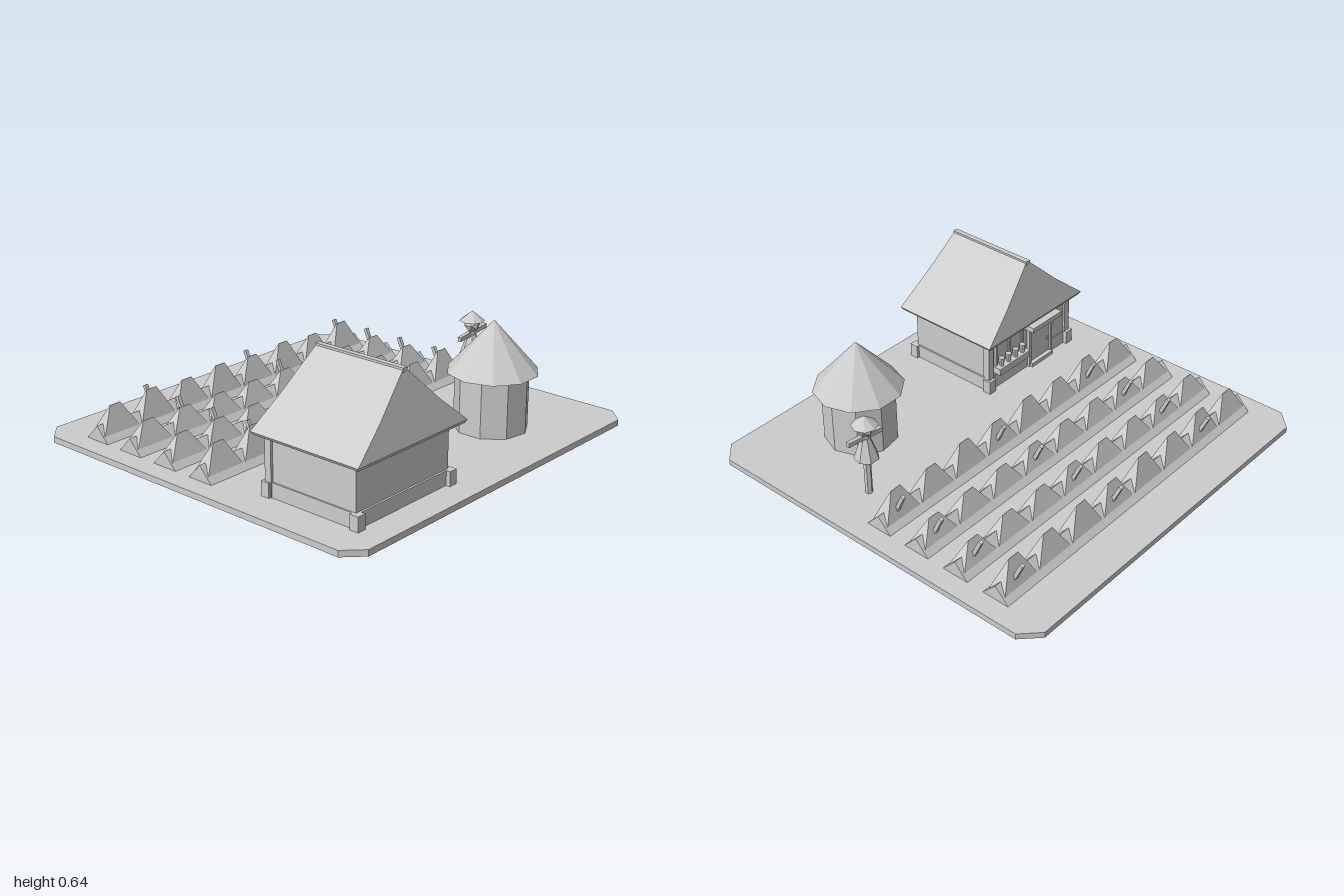
import * as THREE from 'three';

// Solid built from stacked rectangles, each [y, halfWidth, halfDepth]
function stackedRects(levels) {
  const pos = [], idx = [];
  for (const [y, w, d] of levels) pos.push(-w, y, d, w, y, d, w, y, -d, -w, y, -d);
  for (let l = 0; l < levels.length - 1; l++) {
    for (let i = 0; i < 4; i++) {
      const a = l * 4 + i, b = l * 4 + (i + 1) % 4;
      idx.push(a, b, b + 4, a, b + 4, a + 4);
    }
  }
  const t = (levels.length - 1) * 4;
  idx.push(0, 2, 1, 0, 3, 2, t, t + 1, t + 2, t, t + 2, t + 3);
  const g = new THREE.BufferGeometry();
  g.setAttribute('position', new THREE.Float32BufferAttribute(pos, 3));
  g.setIndex(idx);
  const flat = g.toNonIndexed();
  flat.computeVertexNormals();
  return flat;
}

export function createModel() {
  const grey = new THREE.MeshStandardMaterial({ color: 0xcccccc, flatShading: true });
  grey.name = 'plain grey';
  const root = new THREE.Group();
  root.name = 'farm';

  const group = (name, x, z) => {
    const g = new THREE.Group();
    g.name = name;
    g.position.set(x, 0, z);
    root.add(g);
    return g;
  };
  const add = (parent, name, geo, x = 0, y = 0, z = 0) => {
    const m = new THREE.Mesh(geo, grey);
    m.name = name;
    m.position.set(x, y, z);
    parent.add(m);
    return m;
  };
  // Box given by its min and max corners
  const box = (parent, name, x0, x1, y0, y1, z0, z1) =>
    add(parent, name, new THREE.BoxGeometry(x1 - x0, y1 - y0, z1 - z0),
      (x0 + x1) / 2, (y0 + y1) / 2, (z0 + z1) / 2);

  // Ground slab with cut corners
  const W = 1, D = 0.965, C = 0.085;
  const outline = [[-W, -D + C], [-W + C, -D], [W - C, -D], [W, -D + C],
    [W, D - C], [W - C, D], [-W + C, D], [-W, D - C]].map(p => new THREE.Vector2(...p));
  const slab = new THREE.ExtrudeGeometry(new THREE.Shape(outline), { depth: 0.03, bevelEnabled: false });
  slab.rotateX(-Math.PI / 2);
  add(root, 'ground', slab);

  // Field: four earth ridges, each with eight plants and three stakes
  const ridgeGeo = stackedRects([[0.02, 0.9, 0.079], [0.105, 0.9, 0]]);
  const stakeGeo = new THREE.BoxGeometry(0.018, 0.1, 0.018);
  for (let r = 0; r < 4; r++) {
    const row = group('fieldRow', 0, -0.004 - 0.227 * r);
    add(row, 'earthRidge', ridgeGeo);
    for (let i = 0; i < 8; i++) {
      const x = -0.787 + 0.2245 * i;
      const top = (r === 0 || r === 3) ? (i % 2 ? 0.196 : 0.183) : 0.165;
      add(row, 'plant', stackedRects([[0.06, 0.104, 0.045], [top, 0.03, 0.001]]), x);
      if (i % 3 === 1) add(row, 'stake', stakeGeo, x + 0.02, 0.145, -0.045).rotation.x = -0.42;
    }
  }

  // House, centred under its roof
  const house = group('house', -0.51, 0.568);
  box(house, 'walls', -0.3, 0.3, 0.03, 0.32, -0.245, 0.24);
  box(house, 'foundation', -0.308, 0.308, 0.03, 0.1, -0.25, 0.25);
  for (const sx of [-1, 1]) {
    for (const sz of [-1, 1]) add(house, 'cornerStone', new THREE.BoxGeometry(0.045, 0.07, 0.045), sx * 0.3, 0.065, sz * 0.248);
    add(house, 'cornerPost', new THREE.BoxGeometry(0.035, 0.28, 0.035), sx * 0.295, 0.17, -0.238);
  }
  add(house, 'roof', stackedRects([[0.31, 0.345, 0.29], [0.325, 0.354, 0.297], [0.462, 0.19, 0.27], [0.63, 0.013, 0.237]]));
  box(house, 'ridgeCap', -0.013, 0.013, 0.618, 0.64, -0.24, 0.24);

  // Door with frame, handle, canopy and step on the field side
  box(house, 'door', -0.155, -0.005, 0.04, 0.235, -0.252, -0.244);
  for (const x of [-0.17, -0.005]) box(house, 'doorJamb', x, x + 0.015, 0.03, 0.25, -0.262, -0.24);
  box(house, 'doorLintel', -0.17, 0.01, 0.235, 0.25, -0.262, -0.24);
  add(house, 'doorHandle', new THREE.IcosahedronGeometry(0.008, 0), -0.135, 0.135, -0.258);
  box(house, 'doorCanopy', -0.19, 0.03, 0.262, 0.288, -0.305, -0.24);
  box(house, 'doorStep', -0.16, 0, 0.03, 0.05, -0.275, -0.24);

  // Window with bars, shelf and pots
  box(house, 'windowPane', 0.06, 0.25, 0.165, 0.27, -0.25, -0.242);
  for (const x of [0.05, 0.15, 0.25]) box(house, 'windowBar', x, x + 0.012, 0.16, 0.275, -0.257, -0.242);
  box(house, 'windowShelf', 0.04, 0.27, 0.125, 0.162, -0.292, -0.24);
  for (let i = 0; i < 4; i++) {
    add(house, 'pot', new THREE.CylinderGeometry(0.017, 0.012, 0.045, 6), 0.075 + i * 0.053, 0.184, -0.27);
  }

  // Round store hut
  const hut = group('storeHut', 0.45, 0.555);
  add(hut, 'hutWall', new THREE.CylinderGeometry(0.178, 0.178, 0.29, 9), 0, 0.175).rotation.y = Math.PI / 2;
  add(hut, 'hutRoof', new THREE.ConeGeometry(0.219, 0.247, 10), 0, 0.4315).rotation.y = Math.PI / 2;

  // Scarecrow
  const scarecrow = group('scarecrow', 0.74, 0.216);
  add(scarecrow, 'pole', new THREE.CylinderGeometry(0.018, 0.018, 0.36, 6), 0, 0.18);
  add(scarecrow, 'robe', new THREE.CylinderGeometry(0.022, 0.06, 0.11, 7), 0, 0.285);
  add(scarecrow, 'arms', new THREE.BoxGeometry(0.21, 0.022, 0.02), 0.005, 0.347).rotation.z = 0.12;
  add(scarecrow, 'head', new THREE.IcosahedronGeometry(0.041, 0), 0, 0.388);
  add(scarecrow, 'hat', new THREE.ConeGeometry(0.063, 0.05, 8), 0, 0.434);

  return root;
}
